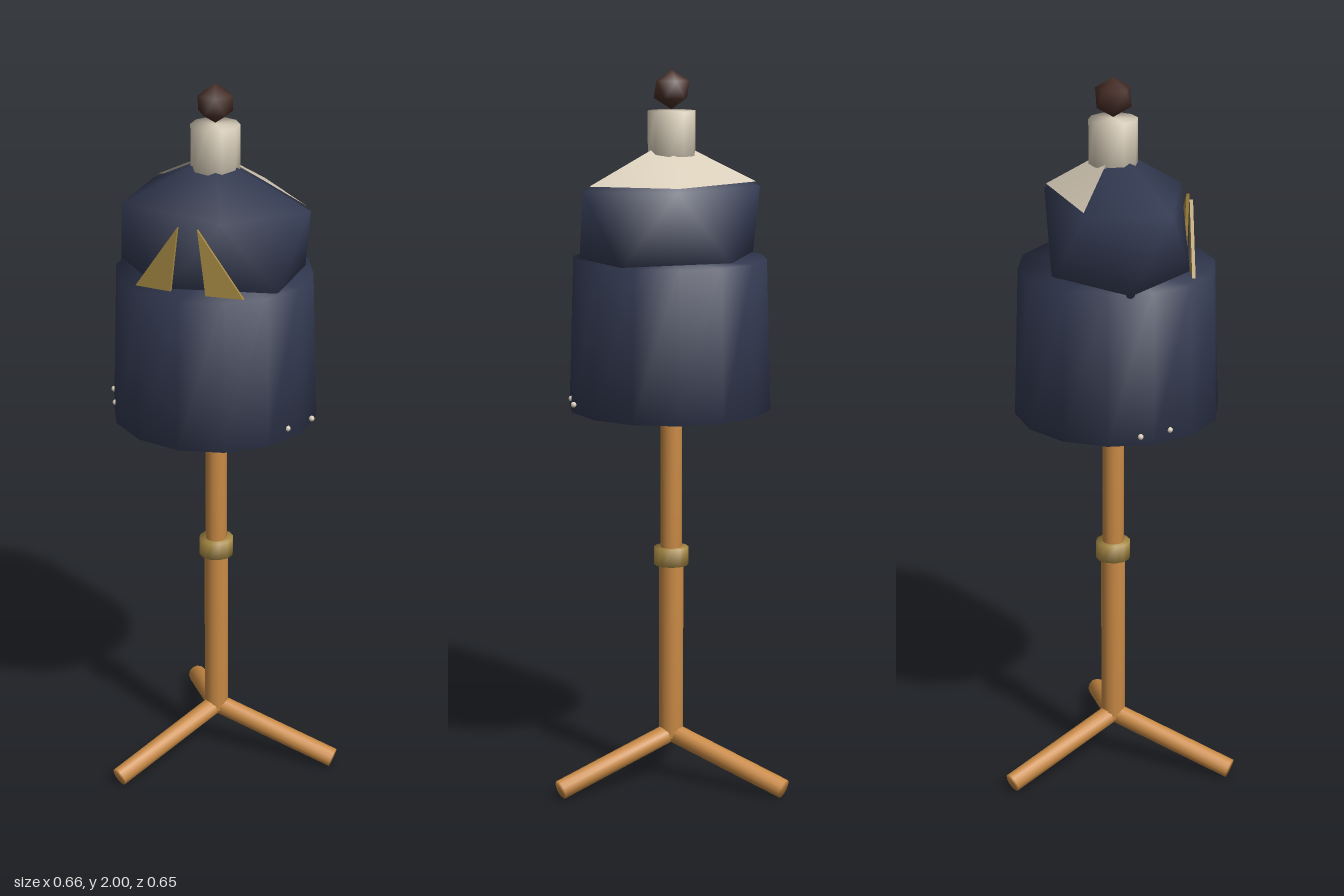
import * as THREE from 'three';
import { mergeVertices } from 'three/addons/utils/BufferGeometryUtils.js';
import { ConvexGeometry } from 'three/addons/geometries/ConvexGeometry.js';

const CX = -0.036; // x of the stand's axis

// Weld all corners so the low-poly shapes shade softly
function soften(geometry) {
  geometry.deleteAttribute('uv');
  geometry.deleteAttribute('normal');
  const welded = mergeVertices(geometry, 1e-4);
  welded.computeVertexNormals();
  return welded;
}

// Twelve corners of an upright icosahedron: pole, five, five, pole
function icoPoints(rx, ry, rz) {
  const pts = [new THREE.Vector3(0, ry, 0)];
  for (const level of [1, -1]) {
    for (let i = 0; i < 5; i++) {
      const a = (i + (level < 0 ? 0.5 : 0)) * Math.PI * 2 / 5;
      pts.push(new THREE.Vector3(
        0.8944 * rx * Math.cos(a), level * 0.4472 * ry, -0.8944 * rz * Math.sin(a)));
    }
  }
  pts.push(new THREE.Vector3(0, -ry, 0));
  return pts;
}

export function createModel() {
  const group = new THREE.Group();
  const mat = (name, color, side = THREE.FrontSide) => {
    const m = new THREE.MeshStandardMaterial({ color, side });
    m.name = name;
    return m;
  };
  const navy = mat('navy cloth', 0x333a52);
  const cream = mat('cream linen', 0xd8cdb9, THREE.DoubleSide);
  const wood = mat('warm wood', 0xc98a45);
  const gold = mat('old gold', 0xa98b45);
  const brown = mat('dark brown', 0x452c25);

  function add(name, geometry, material, x, y, z) {
    const mesh = new THREE.Mesh(geometry, material);
    mesh.name = name;
    mesh.position.set(x, y, z);
    group.add(mesh);
    return mesh;
  }
  function cylinder(name, rTop, rBottom, y0, y1, sides, material, z = 0) {
    const g = soften(new THREE.CylinderGeometry(rTop, rBottom, y1 - y0, sides));
    return add(name, g, material, CX, (y0 + y1) / 2, z);
  }

  // Stand: two-piece pole with a clamp ring
  cylinder('lowerPole', 0.034, 0.034, 0.13, 0.65, 12, wood);
  cylinder('upperPole', 0.03, 0.03, 0.64, 1.09, 12, wood);
  cylinder('clampRing', 0.048, 0.048, 0.63, 0.68, 12, gold);

  // Three sloping legs
  const up = new THREE.Vector3(0, 1, 0);
  for (let i = 0; i < 3; i++) {
    const a = i * Math.PI * 2 / 3;
    const start = new THREE.Vector3(CX, 0.14, 0);
    const end = new THREE.Vector3(CX + 0.357 * Math.cos(a), 0.03, 0.357 * Math.sin(a));
    const dir = end.clone().sub(start);
    const mid = start.add(end).multiplyScalar(0.5);
    const leg = add('leg', soften(new THREE.CylinderGeometry(0.027, 0.027, dir.length(), 12)),
      wood, mid.x, mid.y, mid.z);
    leg.quaternion.setFromUnitVectors(up, dir.normalize());
  }

  // Jacket body
  cylinder('jacketBody', 0.267, 0.28, 1.075, 1.49, 14, navy, 0.01);

  // Faceted shoulders
  const pts = icoPoints(0.302, 0.226, 0.217);
  add('shoulders', soften(new ConvexGeometry(pts)), navy, CX, 1.584, 0.01);

  // Linen yoke: two thin faces over the back of the shoulders
  const lift = new THREE.Vector3(0, 0.005, 0);
  const corners = [pts[0], ...pts.slice(1, 4).map(p => p.clone().lerp(pts[0], 0.06))]
    .map(p => p.clone().add(lift));
  const yoke = new THREE.BufferGeometry().setFromPoints(corners);
  yoke.setIndex([0, 1, 2, 0, 2, 3]);
  yoke.computeVertexNormals();
  add('backYoke', yoke, cream, CX, 1.584, 0.003);

  // Lapels, mirrored about the axis
  for (const s of [1, -1]) {
    const tri = new THREE.Shape([
      new THREE.Vector2(s * 0.027, 1.67),
      new THREE.Vector2(s * 0.05, 1.48),
      new THREE.Vector2(s * 0.158, 1.48)]);
    const lapel = add(s > 0 ? 'leftLapel' : 'rightLapel',
      new THREE.ExtrudeGeometry(tri, { depth: 0.009, bevelEnabled: false }), gold, CX, 0, 0.203);
    lapel.rotation.y = s * 0.09;
  }

  // Neck and finial
  cylinder('neck', 0.066, 0.066, 1.77, 1.89, 10, cream);
  add('finial', soften(new ConvexGeometry(icoPoints(0.054, 0.053, 0.054))), brown, CX, 1.947, 0);

  // Small side buttons
  for (const s of [1, -1]) {
    for (const [dx, z] of [[0.289, 0.034], [0.25, 0.118]]) {
      add('button', new THREE.SphereGeometry(0.008, 8, 6), cream, CX + s * dx, 1.105, z);
    }
  }

  return group;
}
